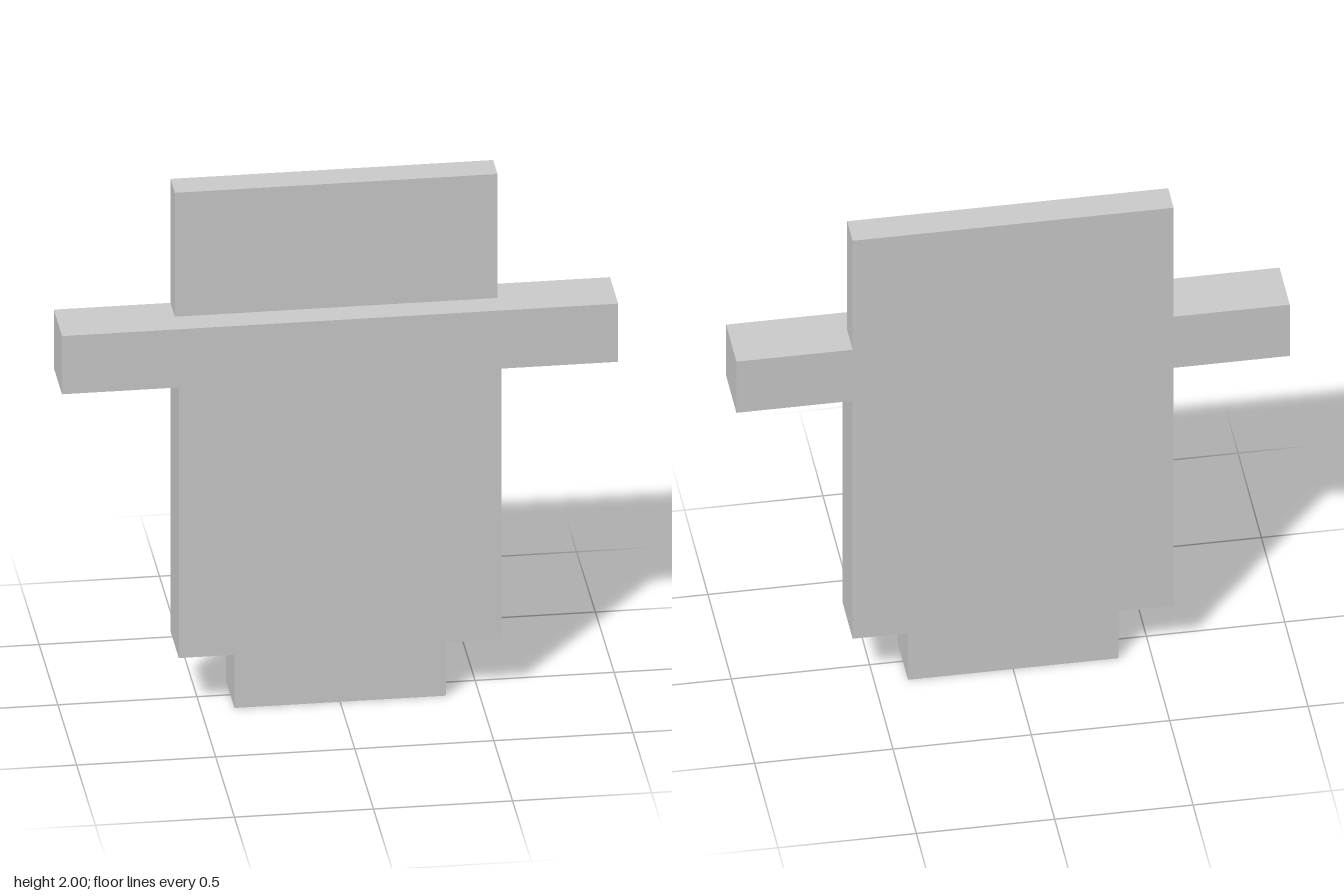
import * as THREE from 'three';

const HALF_DEPTH = 0.11;

export function createModel() {
  const group = new THREE.Group();
  const material = new THREE.MeshStandardMaterial({ color: 0xcccccc, flatShading: true });

  // Right half of the body outline, bottom to top: foot tab, body side, crossbar
  const half = [
    [0.38, 0], [0.38, 0.21], [0.58, 0.21], [0.58, 1.28], [1, 1.28], [1, 1.51],
  ].map(([x, y]) => new THREE.Vector2(x, y));
  const mirrored = half.map((p) => new THREE.Vector2(-p.x, p.y)).reverse();

  // Body with crossbar arms and foot tab, one solid slab
  const bodyGeometry = new THREE.ExtrudeGeometry(new THREE.Shape([...half, ...mirrored]), {
    depth: 2 * HALF_DEPTH,
    bevelEnabled: false,
  });
  bodyGeometry.translate(0, 0, -HALF_DEPTH);
  const body = new THREE.Mesh(bodyGeometry, material);
  body.name = 'body';
  group.add(body);

  // Thinner upper panel, flush with the back
  const panelDepth = 0.116;
  const panel = new THREE.Mesh(new THREE.BoxGeometry(1.16, 0.49, panelDepth), material);
  panel.position.set(0, 1.755, -HALF_DEPTH + panelDepth / 2);
  panel.name = 'upperPanel';
  group.add(panel);

  return group;
}
